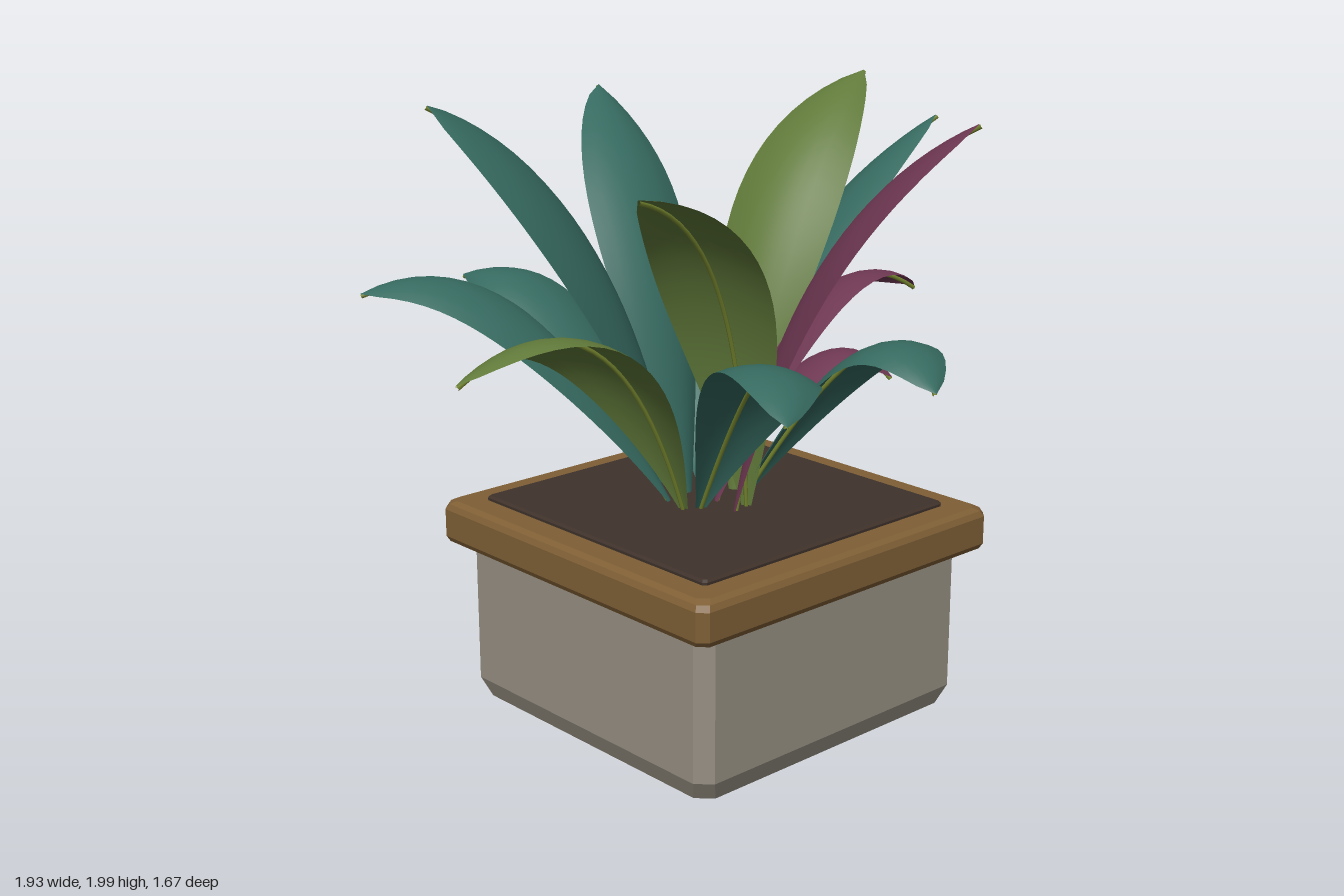
import * as THREE from 'three';

const mat = (name, color, side = THREE.FrontSide) => {
  const m = new THREE.MeshStandardMaterial({ color, side });
  m.name = name;
  return m;
};

const addMesh = (parent, name, geometry, material) => {
  const mesh = new THREE.Mesh(geometry, material);
  mesh.name = name;
  parent.add(mesh);
};

// Faceted square block: each ring is [y, half width], bottom to top, with chamfered corners
function chamferedBlock(rings, chamfer) {
  const pos = [], idx = [], n = 8;
  for (const [y, h] of rings) {
    for (let q = 0; q < 4; q++) {
      const c = Math.round(Math.cos(q * Math.PI / 2)), s = Math.round(Math.sin(q * Math.PI / 2));
      for (const [x, z] of [[h - chamfer, h], [h, h - chamfer]]) pos.push(x * c + z * s, y, z * c - x * s);
    }
  }
  const top = (rings.length - 1) * n;
  for (let r = 0; r < top; r += n) {
    for (let i = 0; i < n; i++) {
      const a = r + i, b = r + (i + 1) % n;
      idx.push(a, b, b + n, a, b + n, a + n);
    }
  }
  for (let i = 1; i < n - 1; i++) {
    idx.push(0, i + 1, i);
    idx.push(top, top + i, top + i + 1);
  }
  const g = new THREE.BufferGeometry();
  g.setAttribute('position', new THREE.Float32BufferAttribute(pos, 3));
  g.setIndex(idx);
  const flat = g.toNonIndexed();
  flat.computeVertexNormals();
  return flat;
}

// Arched leaf blade, rolled about its path, with drooping edges and a midrib underneath
function makeLeaf(name, width, roll, root, bend, tip, bladeMat, ribMat) {
  const start = new THREE.Vector3(root[0], 0.7, root[1]), end = new THREE.Vector3(...tip);
  const path = new THREE.QuadraticBezierCurve3(start, new THREE.Vector3(...bend), end);
  const heading = end.clone().sub(start).setY(0).normalize();
  const up = new THREE.Vector3(0, 1, 0);
  const rows = 24, cols = 8, pos = [], idx = [], rib = [];
  for (let i = 0; i <= rows; i++) {
    const t = i / rows;
    const p = path.getPointAt(t), tangent = path.getTangentAt(t);
    const flow = tangent.clone().setY(0).addScaledVector(heading, 0.6);
    const side = new THREE.Vector3().crossVectors(up, flow).normalize().applyAxisAngle(tangent, -roll);
    const normal = new THREE.Vector3().crossVectors(tangent, side).normalize();
    const swell = Math.pow(Math.max(Math.sin(Math.PI * Math.pow(t, 1.4)), 0), 0.75);
    const half = 0.5 * width * swell + 0.012 * (1 - t);
    for (let j = 0; j <= cols; j++) {
      const s = j / cols * 2 - 1;
      const v = p.clone().addScaledVector(side, s * half).addScaledVector(normal, -0.28 * half * s * s);
      pos.push(v.x, v.y, v.z);
    }
    rib.push(p.clone().addScaledVector(normal, -0.009));
  }
  for (let i = 0; i < rows; i++) {
    for (let j = 0; j < cols; j++) {
      const a = i * (cols + 1) + j, b = a + cols + 1;
      idx.push(a, b, a + 1, a + 1, b, b + 1);
    }
  }
  const g = new THREE.BufferGeometry();
  g.setAttribute('position', new THREE.Float32BufferAttribute(pos, 3));
  g.setIndex(idx);
  g.computeVertexNormals();
  const leaf = new THREE.Group();
  leaf.name = name;
  addMesh(leaf, 'blade', g, bladeMat);
  addMesh(leaf, 'midrib', new THREE.TubeGeometry(new THREE.CatmullRomCurve3(rib), 24, 0.007, 5), ribMat);
  return leaf;
}

// Leaves: name, width, roll, root (x, z), bend point, tip
const tealLeaves = [
  ['tallLeftLeaf', 0.4, 0.4, [-0.06, -0.04], [-0.2, 1.69, -0.12], [-0.74, 1.99, -0.36]],
  ['backLeftLeaf', 0.3, 0.2, [-0.07, -0.06], [-0.42, 1.59, -0.38], [-0.79, 1.39, -0.68]],
  ['backLeaf', 0.31, 0.25, [-0.02, -0.08], [-0.28, 1.52, -0.37], [-0.34, 1.37, -0.77]],
  ['tallBackLeaf', 0.35, -0.25, [0.02, -0.08], [0, 1.69, -0.18], [0.24, 1.93, -0.77]],
  ['backRightLeaf', 0.3, 0.2, [0.1, -0.1], [0.33, 1.28, -0.43], [0.59, 1.32, -0.84]],
  ['tallRightLeaf', 0.29, 0.1, [0.18, -0.1], [0.4, 1.51, -0.13], [0.96, 1.85, 0.09]],
  ['frontLeftLeaf', 0.31, 0.2, [-0.05, 0.04], [-0.12, 1.56, 0.47], [-0.45, 1.23, 0.82]],
  ['frontLeaf', 0.35, 0, [0.1, 0.06], [0.31, 1.56, 0.5], [0.14, 1.21, 0.83]],
];
const greenLeaves = [
  ['tallGreenLeaf', 0.35, -0.15, [0.14, -0.01], [0.23, 1.79, -0.04], [0.88, 1.98, -0.16]],
  ['lowGreenLeaf', 0.31, -0.3, [-0.09, 0.02], [-0.4, 1.6, 0.05], [-0.96, 1.28, 0.04]],
  ['middleGreenLeaf', 0.31, -0.45, [0.07, 0.13], [0.03, 1.63, 0.14], [-0.49, 1.77, 0.27]],
];
const plumLeaves = [
  ['tallPlumLeaf', 0.37, -0.25, [0, 0.14], [0.17, 1.63, 0.18], [0.31, 1.96, 0.81]],
  ['lowPlumLeaf', 0.3, 0.3, [0.02, 0.03], [0.38, 1.61, 0.06], [0.81, 1.31, 0.15]],
  ['smallPlumLeaf', 0.25, 0, [-0.03, 0.02], [0.38, 1.38, 0.13], [0.48, 1.1, 0.36]],
];

export function createModel() {
  const model = new THREE.Group();
  model.name = 'pottedPlant';
  const stone = mat('stone', 0x968f82), wood = mat('wood', 0x7f5f35), earth = mat('soil', 0x3f322b);
  const teal = mat('tealLeaf', 0x366a60, THREE.DoubleSide);
  const green = mat('greenLeaf', 0x617a3a, THREE.DoubleSide);
  const plum = mat('plumLeaf', 0x6f3853, THREE.DoubleSide);
  const olive = mat('midrib', 0x76862f);

  // Planter
  const planter = new THREE.Group();
  planter.name = 'planter';
  planter.position.set(0.04, 0, 0.01);
  addMesh(planter, 'potBody', chamferedBlock([[0, 0.46], [0.035, 0.53], [0.1, 0.557], [0.58, 0.557]], 0.045), stone);
  addMesh(planter, 'rim', chamferedBlock(
    [[0.555, 0.59], [0.565, 0.608], [0.582, 0.617], [0.672, 0.617], [0.69, 0.608], [0.7, 0.59]], 0.028), wood);
  addMesh(planter, 'soil', chamferedBlock([[0.66, 0.512], [0.708, 0.512], [0.715, 0.505]], 0.01), earth);
  model.add(planter);

  // Foliage
  const foliage = new THREE.Group();
  foliage.name = 'foliage';
  for (const [leaves, material] of [[tealLeaves, teal], [greenLeaves, green], [plumLeaves, plum]]) {
    for (const leaf of leaves) foliage.add(makeLeaf(...leaf, material, olive));
  }
  model.add(foliage);
  return model;
}
